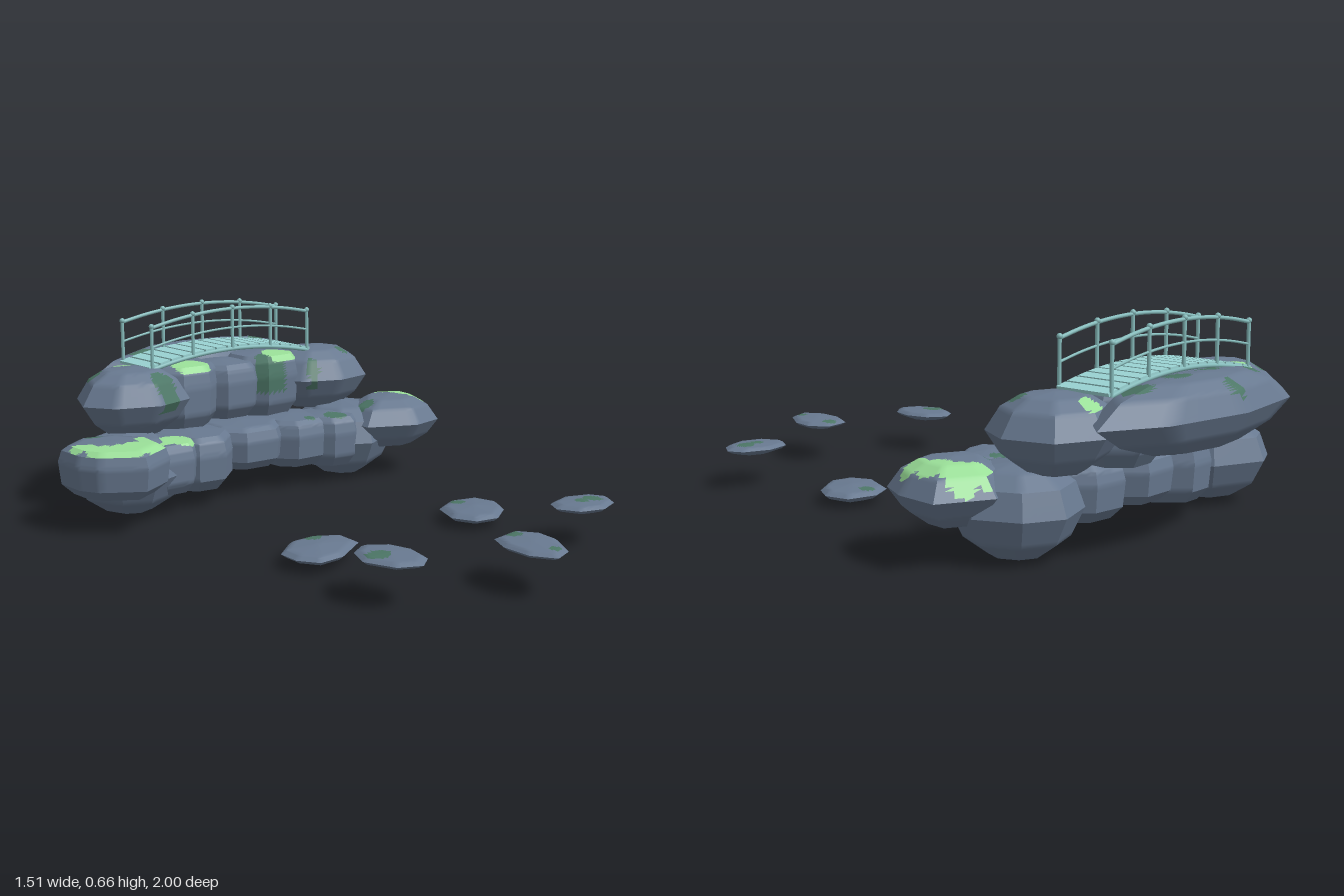
import * as THREE from 'three';
import { toCreasedNormals } from 'three/addons/utils/BufferGeometryUtils.js';

const mat = (name, color) => {
  const m = new THREE.MeshStandardMaterial({ color });
  m.name = name;
  return m;
};

// Small seeded generator for uneven outlines
function seeded(seed) {
  let s = seed * 7919 + 13;
  return () => ((s = (s * 16807) % 2147483647) / 2147483647);
}

// Uneven eight-sided outline, running from +x through the front (+z); turn is in sides
function oval(cx, cz, rx, rz, seed, turn = 0) {
  const rnd = seeded(seed), pts = [];
  for (let i = 0; i < 8; i++) {
    const a = ((i + turn + (rnd() - 0.5) * 0.35) / 8) * Math.PI * 2;
    const k = 0.97 + rnd() * 0.07;
    pts.push([cx + Math.cos(a) * rx * k, cz + Math.sin(a) * rz * k]);
  }
  return pts;
}

// Profiles: [outline scale, height fraction]
const ROUND = [[0, 0], [0.42, 0.03], [0.8, 0.22], [1, 0.52], [0.86, 0.8], [0.55, 0.95], [0, 1]];
const SHARP = [[0, 0], [0.45, 0.04], [0.78, 0.25], [1, 0.53], [0.78, 0.82], [0.5, 0.96], [0, 1]];
const BOXY = [[0, 0], [0.72, 0.02], [0.95, 0.22], [1, 0.66], [0.93, 0.87], [0.8, 0.96], [0, 1]];
const LENS = [[0, 0], [0.5, 0.06], [0.85, 0.35], [1, 0.62], [0.85, 0.85], [0, 1]];

// Each edge of a profile or outline is split so moss borders can run across facets
function split(pts, n, closed) {
  const out = [], last = closed ? pts.length : pts.length - 1;
  for (let i = 0; i < last; i++) {
    const a = pts[i], b = pts[(i + 1) % pts.length];
    for (let k = 0; k < n; k++) {
      const t = k / n;
      out.push([a[0] + (b[0] - a[0]) * t, a[1] + (b[1] - a[1]) * t]);
    }
  }
  if (!closed) out.push(pts[pts.length - 1]);
  return out;
}

// Boulder; moss = [x, z, radius, material index], 1 pale on level faces, 2 dark anywhere above the belly
function rockGeometry(outline, y0, y1, profile, moss) {
  const cx = outline.reduce((s, p) => s + p[0], 0) / outline.length;
  const cz = outline.reduce((s, p) => s + p[1], 0) / outline.length;
  const ring = split(outline, 6, true), prof = split(profile, 6, false), n = ring.length;
  const faces = [[], [], []];
  const centre = new THREE.Vector3(), normal = new THREE.Vector3();
  const point = (j, i) => {
    const [s, h] = prof[j], p = ring[i % n];
    return new THREE.Vector3(cx + (p[0] - cx) * s, y0 + (y1 - y0) * h, cz + (p[1] - cz) * s);
  };
  const add = (...corners) => {
    const tri = new THREE.Triangle(...corners);
    tri.getMidpoint(centre);
    tri.getNormal(normal);
    const hit = moss.find(m => Math.hypot(centre.x - m[0], centre.z - m[1]) < m[2]
      && (m[3] === 1 ? normal.y > 0.55 : centre.y > y0 + (y1 - y0) * 0.4));
    faces[hit ? hit[3] : 0].push(...corners.flatMap(c => c.toArray()));
  };
  for (let j = 0; j < prof.length - 1; j++) {
    for (let i = 0; i < n; i++) {
      const a = point(j, i), b = point(j, i + 1), c = point(j + 1, i), d = point(j + 1, i + 1);
      if (j > 0) add(a, c, b);
      if (j < prof.length - 2) add(b, c, d);
    }
  }
  const g = new THREE.BufferGeometry();
  g.setAttribute('position', new THREE.Float32BufferAttribute(faces.flat(), 3));
  let start = 0;
  faces.forEach((f, k) => { g.addGroup(start, f.length / 3, k); start += f.length / 3; });
  return toCreasedNormals(g, 0.6);
}

export function createModel() {
  const model = new THREE.Group();
  model.name = 'rockBridgeGarden';
  const stone = mat('slateStone', 0x687990);
  const paleMoss = mat('paleMoss', 0x9adf98);
  const darkMoss = mat('darkMoss', 0x4c7666);
  const plankMat = mat('tealPlank', 0x9bd4d4);
  const railMat = mat('tealRail', 0x86bcbc);
  const mats = [stone, paleMoss, darkMoss];

  const rock = (name, outline, y0, y1, profile, moss = []) => {
    const m = new THREE.Mesh(rockGeometry(outline, y0, y1, profile, moss), mats);
    m.name = name;
    model.add(m);
  };

  // Low end boulders, with crescents of pale moss along their outer rims
  rock('rightEndBoulder', [[-0.44, -0.47], [-0.46, -0.33], [-0.59, -0.255], [-0.72, -0.34], [-0.755, -0.41],
    [-0.755, -0.53], [-0.64, -0.61], [-0.52, -0.58]], 0.11, 0.28, BOXY,
  [[-0.71, -0.45, 0.04, 1], [-0.68, -0.38, 0.05, 1], [-0.62, -0.34, 0.065, 1], [-0.54, -0.35, 0.065, 1],
    [-0.48, -0.42, 0.05, 1], [-0.6, -0.57, 0.03, 2]]);
  rock('leftEndBoulder', [[0.76, -0.54], [0.75, -0.4], [0.7, -0.3], [0.57, -0.27], [0.4, -0.35],
    [0.4, -0.46], [0.5, -0.58], [0.6, -0.62]], 0.1, 0.29, SHARP,
  [[0.59, -0.56, 0.045, 1], [0.65, -0.53, 0.055, 1], [0.67, -0.46, 0.05, 1], [0.68, -0.39, 0.04, 1], [0.46, -0.43, 0.03, 2]]);

  // Base boulders and the front row between them
  rock('rightBaseBoulder', oval(-0.48, -0.55, 0.19, 0.2, 3), 0.01, 0.27, ROUND);
  rock('leftBaseBoulder', oval(0.44, -0.55, 0.19, 0.2, 5), 0.0, 0.27, ROUND);
  rock('rowStone', oval(-0.38, -0.5, 0.12, 0.13, 7, 0.5), 0.07, 0.25, BOXY, [[-0.34, -0.46, 0.06, 1], [-0.41, -0.47, 0.05, 1]]);
  rock('rowStone', oval(-0.22, -0.56, 0.14, 0.16, 8, 0.5), 0.05, 0.25, BOXY);
  rock('rowStone', oval(0, -0.58, 0.16, 0.16, 9, 0.5), 0.09, 0.25, BOXY);
  rock('rowStone', oval(0.2, -0.56, 0.135, 0.16, 10, 0.5), 0.07, 0.25, BOXY, [[0.22, -0.46, 0.02, 2]]);
  rock('rowStone', oval(0.33, -0.5, 0.12, 0.13, 11, 0.5), 0.06, 0.25, BOXY, [[0.32, -0.44, 0.04, 2]]);

  // Upper boulders carrying the bridge ends
  rock('rightUpperBoulder', [[-0.2, -0.64], [-0.25, -0.52], [-0.4, -0.47], [-0.54, -0.52], [-0.605, -0.62],
    [-0.54, -0.77], [-0.4, -0.83], [-0.25, -0.78]], 0.24, 0.475, SHARP,
  [[-0.39, -0.735, 0.04, 1], [-0.35, -0.52, 0.045, 2], [-0.5, -0.72, 0.025, 2]]);
  rock('leftUpperBoulder', [[0.585, -0.62], [0.52, -0.5], [0.38, -0.47], [0.25, -0.52], [0.18, -0.64],
    [0.25, -0.78], [0.4, -0.83], [0.54, -0.77]], 0.24, 0.47, SHARP,
  [[0.37, -0.765, 0.04, 1], [0.46, -0.57, 0.025, 2], [0.29, -0.53, 0.025, 2]]);
  rock('upperStone', oval(-0.19, -0.68, 0.14, 0.14, 14, 0.5), 0.24, 0.47, BOXY, [[-0.19, -0.6, 0.07, 1]]);
  rock('upperStone', oval(0, -0.69, 0.14, 0.14, 15, 0.5), 0.25, 0.455, BOXY);
  rock('upperStone', oval(0.17, -0.68, 0.14, 0.14, 16, 0.5), 0.24, 0.47, BOXY,
    [[0.2, -0.6, 0.07, 1], [0.13, -0.57, 0.055, 2]]);

  // Long ledge behind the bridge
  rock('backLedge', [[0.485, -0.865], [0.38, -0.76], [0.05, -0.71], [-0.3, -0.74], [-0.455, -0.84],
    [-0.32, -0.95], [-0.02, -1], [0.29, -0.96]], 0.285, 0.5, SHARP,
  [[-0.24, -0.85, 0.035, 2], [-0.02, -0.95, 0.03, 2], [0.08, -0.82, 0.045, 2], [0.27, -0.83, 0.045, 2], [-0.1, -0.8, 0.04, 2]]);

  // Stepping stones: base height, outline, moss
  [
    [0.01, [[-0.206, 0.23], [-0.212, 0.31], [-0.34, 0.39], [-0.43, 0.397], [-0.47, 0.333], [-0.466, 0.254], [-0.38, 0.185], [-0.286, 0.18]],
      [[-0.31, 0.21, 0.028, 2]]],
    [0.005, [[0.45, 0.25], [0.41, 0.32], [0.32, 0.38], [0.24, 0.365], [0.205, 0.286], [0.25, 0.18], [0.333, 0.14], [0.43, 0.165]],
      [[0.33, 0.19, 0.025, 2]]],
    [0.105, [[-0.34, 0.693], [-0.36, 0.77], [-0.413, 0.81], [-0.48, 0.778], [-0.515, 0.68], [-0.48, 0.6], [-0.423, 0.565], [-0.36, 0.61]],
      [[-0.46, 0.68, 0.035, 2]]],
    [0.105, [[0.048, 0.805], [0.037, 0.884], [-0.02, 0.974], [-0.09, 1], [-0.132, 0.93], [-0.127, 0.83], [-0.09, 0.757], [0.005, 0.74]],
      [[-0.03, 0.78, 0.025, 2], [-0.05, 0.95, 0.018, 2]]],
    [0.105, [[0.513, 0.667], [0.48, 0.72], [0.4, 0.75], [0.32, 0.725], [0.286, 0.656], [0.317, 0.603], [0.397, 0.582], [0.487, 0.614]],
      [[0.39, 0.665, 0.022, 2], [0.44, 0.665, 0.03, 2]]],
  ].forEach(([y, outline, moss]) => rock('steppingStone', outline, y, y + (y < 0.1 ? 0.048 : 0.037), LENS, moss));

  // Arched footbridge
  const bridge = new THREE.Group();
  bridge.name = 'footbridge';
  model.add(bridge);
  const mid = -0.012, half = 0.333;
  const arch = (x, base) => base + 0.038 * (1 - ((x - mid) / half) ** 2);
  const put = (name, geometry, material, x, y, z, tilt = 0) => {
    const m = new THREE.Mesh(geometry, material);
    m.name = name;
    m.position.set(x, y, z);
    m.rotation.z = tilt;
    bridge.add(m);
  };

  const plank = new THREE.BoxGeometry(0.039, 0.01, 0.184);
  for (let i = 0; i < 15; i++) {
    const x = mid - half + 0.006 + (i / 14) * (half * 2 - 0.012);
    put('plank', plank, plankMat, x, arch(x, 0.47), -0.693, Math.atan(-0.076 * (x - mid) / half ** 2));
  }

  // Beams, rails and posts on both sides
  const post = new THREE.CylinderGeometry(0.006, 0.006, 0.15, 12);
  const knob = new THREE.SphereGeometry(0.009, 12, 8);
  for (const z of [-0.6, -0.784]) {
    for (const [name, base, r] of [['sideBeam', 0.463, 0.007], ['middleRail', 0.538, 0.004], ['handRail', 0.605, 0.006]]) {
      const pts = [];
      for (let i = 0; i <= 8; i++) {
        const x = mid + half * (i / 4 - 1);
        pts.push(new THREE.Vector3(x, arch(x, base), z));
      }
      put(name, new THREE.TubeGeometry(new THREE.CatmullRomCurve3(pts), 24, r, 10), railMat, 0, 0, 0);
    }
    for (let i = 0; i < 5; i++) {
      const x = mid + half * (i / 2 - 1), y = arch(x, 0.463);
      put('railPost', post, railMat, x, y + 0.073, z);
      put('postCap', knob, railMat, x, y + 0.147, z);
    }
  }
  return model;
}
